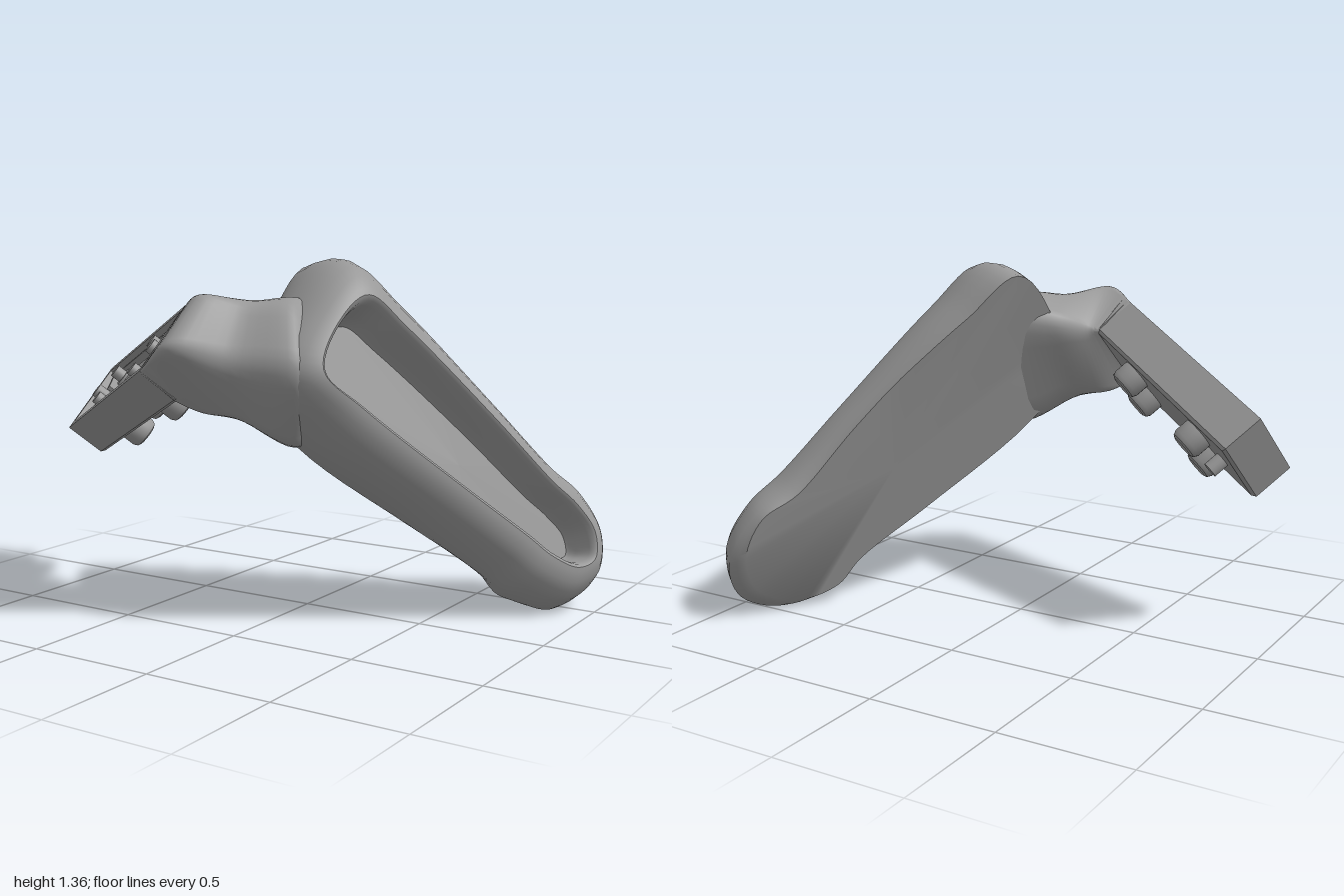
import * as THREE from 'three';
import { toCreasedNormals } from 'three/addons/utils/BufferGeometryUtils.js';

const V3 = (x, y, z) => new THREE.Vector3(x, y, z);
const clamp = x => THREE.MathUtils.clamp(x, 0, 1);
const material = new THREE.MeshStandardMaterial({ color: 0x999999 });

function add(parent, name, geometry) {
  const mesh = new THREE.Mesh(geometry, material);
  mesh.name = name;
  parent.add(mesh);
  return mesh;
}

// Skin a stack of equal-length closed rings and cap both ends.
function loft(rings, crease) {
  const n = rings[0].length, pos = [], index = [];
  rings.forEach(r => r.forEach(p => pos.push(p.x, p.y, p.z)));
  for (let i = 0; i < rings.length - 1; i++) {
    for (let j = 0; j < n; j++) {
      const k = (j + 1) % n, a = i * n + j, b = i * n + k;
      index.push(a, b, b + n, a, b + n, a + n);
    }
  }
  [0, rings.length - 1].forEach((i, top) => {
    const c = V3(0, 0, 0);
    rings[i].forEach(p => c.addScaledVector(p, 1 / n));
    const id = pos.length / 3;
    pos.push(c.x, c.y, c.z);
    for (let j = 0; j < n; j++) {
      const a = i * n + j, b = i * n + (j + 1) % n;
      if (top) index.push(a, b, id); else index.push(b, a, id);
    }
  });
  const g = new THREE.BufferGeometry();
  g.setAttribute('position', new THREE.Float32BufferAttribute(pos, 3));
  g.setIndex(index);
  return toCreasedNormals(g, crease);
}

// Four corners turned into a ring with softened corners.
function roundedQuad(corners, r) {
  const ring = [];
  corners.forEach((c, i) => {
    const from = c.clone().lerp(corners[(i + 3) % 4], r);
    const to = c.clone().lerp(corners[(i + 1) % 4], r);
    ring.push(...new THREE.QuadraticBezierCurve3(from, c, to).getPoints(5));
  });
  return ring;
}

// Long tapered paddle with a scooped tray; local axes: length, width, outward.
function makePaddle(group) {
  const back = [[-.85, .62], [-.80, .37], [-.52, .29], [0, .31], [.34, .335], [.48, .305], [.62, .375],
    [.71, .56], [.65, .735], [.5, .83], [.34, .81], [0, .88], [-.56, .955], [-.82, .955]];
  const side = [[-.87, .62], [-.825, .345], [-.52, .275], [0, .295], [.34, .305], [.5, .305], [.69, .37],
    [.78, .56], [.71, .735], [.52, .825], [.34, .825], [0, .87], [-.55, .94], [-.82, .94]];
  const rim = [[-.73, .61], [-.69, .43], [-.5, .42], [0, .44], [.34, .46], [.48, .465], [.6, .5],
    [.65, .57], [.6, .65], [.48, .685], [.34, .69], [0, .73], [-.5, .77], [-.68, .765]];
  const smooth = pts => {
    const curve = new THREE.CatmullRomCurve3(pts.map(p => V3(p[0], p[1], 0)), true, 'centripetal');
    return Array.from({ length: 98 }, (_, i) => curve.getPoint(i / 98));
  };
  const [b, s, m] = [back, side, rim].map(smooth);
  // [blend back to side, blend side to rim, height]
  const profile = [[0, 0, 0], [.55, 0, .08], [1, 0, .2], [1, .05, .38], [1, .17, .6], [1, .36, .79],
    [1, .57, .91], [1, .8, .98], [1, .92, 1], [1, 1, .97], [1, 1.05, .88], [1, 1.13, .6],
    [1, 1.17, .46], [1, 1.22, .41], [1, 1.28, .41]];
  const rings = profile.map(([k, t, h]) => b.map((p, i) => {
    const q = p.clone().lerp(s[i], k).lerp(m[i], t);
    const low = .47 + .03 * q.x - .04 * clamp((-q.x - .2) / .4) * clamp((q.y - .55) / .35) * clamp(1 - 3 * h);
    const high = .757 - .045 * q.x;
    q.z = low + (high - low) * h;
    return q;
  }));
  const paddle = add(group, 'paddle', loft(rings, .75));
  paddle.applyMatrix4(new THREE.Matrix4().makeBasis(
    V3(.5, -.63, -.6), V3(.079, .72, -.69), V3(.85, .31, .42)));
}

// Bent neck blending the bracket into the wide end of the paddle.
function makeNeck(group) {
  // corners: upper front, lower front, lower back, upper back
  const sections = [
    [[-.255, 1.19, .43], [-.29, .96, .66], [-.195, .85, .57], [-.155, 1.08, .34]],
    [[-.10, 1.25, .53], [-.12, 1.06, .725], [-.12, .785, .50], [-.12, 1.09, .30]],
    [[.02, 1.23, .43], [.05, 1.0, .585], [-.02, .745, .45], [-.04, 1.14, .16]],
    [[.18, 1.225, .34], [.31, .97, .505], [.15, .62, .34], [.08, 1.18, .04]],
    [[.16, 1.04, .20], [.17, .87, .31], [.21, .69, .23], [.16, 1.06, .04]]
  ].map(s => s.map(c => V3(...c)));
  const tracks = [0, 1, 2, 3].map(k =>
    new THREE.CatmullRomCurve3(sections.map(s => s[k]), false, 'centripetal'));
  const rings = [];
  for (let i = 0; i <= 28; i++) {
    const t = i / 28;
    rings.push(roundedQuad(tracks.map(c => c.getPoint(t)), .03 + .27 * Math.min(1, t * 1.8)));
  }
  add(group, 'neck', loft(rings, .8));
}

// Mounting bracket; local axes: length, width, outward through the open tray.
function makeBracket(group) {
  const bracket = new THREE.Group();
  bracket.name = 'bracket';
  const L = .875, W = .164, D = .175;
  const rect = (Type, x0, x1, w) => new Type(
    [[x0, -w], [x1, -w], [x1, w], [x0, w]].map(p => new THREE.Vector2(...p)));
  const frame = rect(THREE.Shape, 0, L, W);
  frame.holes.push(rect(THREE.Path, .03, L - .025, W - .026));
  const wall = new THREE.ExtrudeGeometry(frame, { depth: .1, bevelEnabled: false });
  add(bracket, 'trayWall', wall.translate(0, 0, -.1));

  // Closed back slab with softly bevelled rear edges
  const slab = [[-D, .012], [-D + .012, 0], [-.08, 0]].map(([z, inset]) =>
    [[inset, -1], [L, -1], [L, 1], [inset, 1]].map(([x, s]) => V3(x, s * (W - inset), z)));
  add(bracket, 'backSlab', loft(slab, .3));

  // Raised pad and side ribs in the tray
  add(bracket, 'trayPad', new THREE.BoxGeometry(.36, .19, .05).translate(.435, 0, -.07));
  for (const s of [-1, 1]) {
    add(bracket, 'trayRib', new THREE.BoxGeometry(.76, .014, .07).translate(.44, s * .115, -.055));
  }

  const zCylinder = (r, z0, z1, sides) =>
    new THREE.CylinderGeometry(r, r, z1 - z0, sides).rotateX(Math.PI / 2).translate(0, 0, (z0 + z1) / 2);
  // Collared bolt with a hollow centre, below the back face
  const bolt = toCreasedNormals(new THREE.LatheGeometry(
    [[.063, 0], [.063, .055], [.055, .072], [.042, .078], [.03, .07], [.026, .045], [0, .045]]
      .map(p => new THREE.Vector2(...p)), 24), .6).rotateX(-Math.PI / 2).translate(0, 0, -D);

  for (const [x, dir] of [[.215, -1], [.645, 1]]) {
    for (const s of [-1, 1]) {
      const set = new THREE.Group();
      set.name = 'boltSet';
      set.position.set(x, s * .07, 0);
      add(set, 'boltCollar', bolt);
      add(set, 'nut', zCylinder(.042, -.1, -.035, 6));
      add(set, 'boltTip', zCylinder(.026, -.05, .005, 16));
      bracket.add(set);
    }
    const px = x + dir * .11;
    add(bracket, 'locatingPeg', zCylinder(.03, -D - .06, -D + .01, 18).translate(px, 0, 0));
    add(bracket, 'pegTip', zCylinder(.028, -.1, .01, 16).translate(px, 0, 0));
    // Angled gussets around the peg
    for (const s of [-1, 1]) {
      add(bracket, 'gusset', new THREE.BoxGeometry(.12, .016, .08)
        .rotateZ(s * dir * .8).translate(px, s * .065, -.06));
    }
  }
  bracket.applyMatrix4(new THREE.Matrix4().makeBasis(
    V3(.814, .356, .459), V3(.1, .69, -.72), V3(-.573, .632, .526)).setPosition(-.98, .765, .145));
  group.add(bracket);
}

export function createModel() {
  const group = new THREE.Group();
  group.name = 'bracketedPaddle';
  makePaddle(group);
  makeNeck(group);
  makeBracket(group);
  return group;
}
